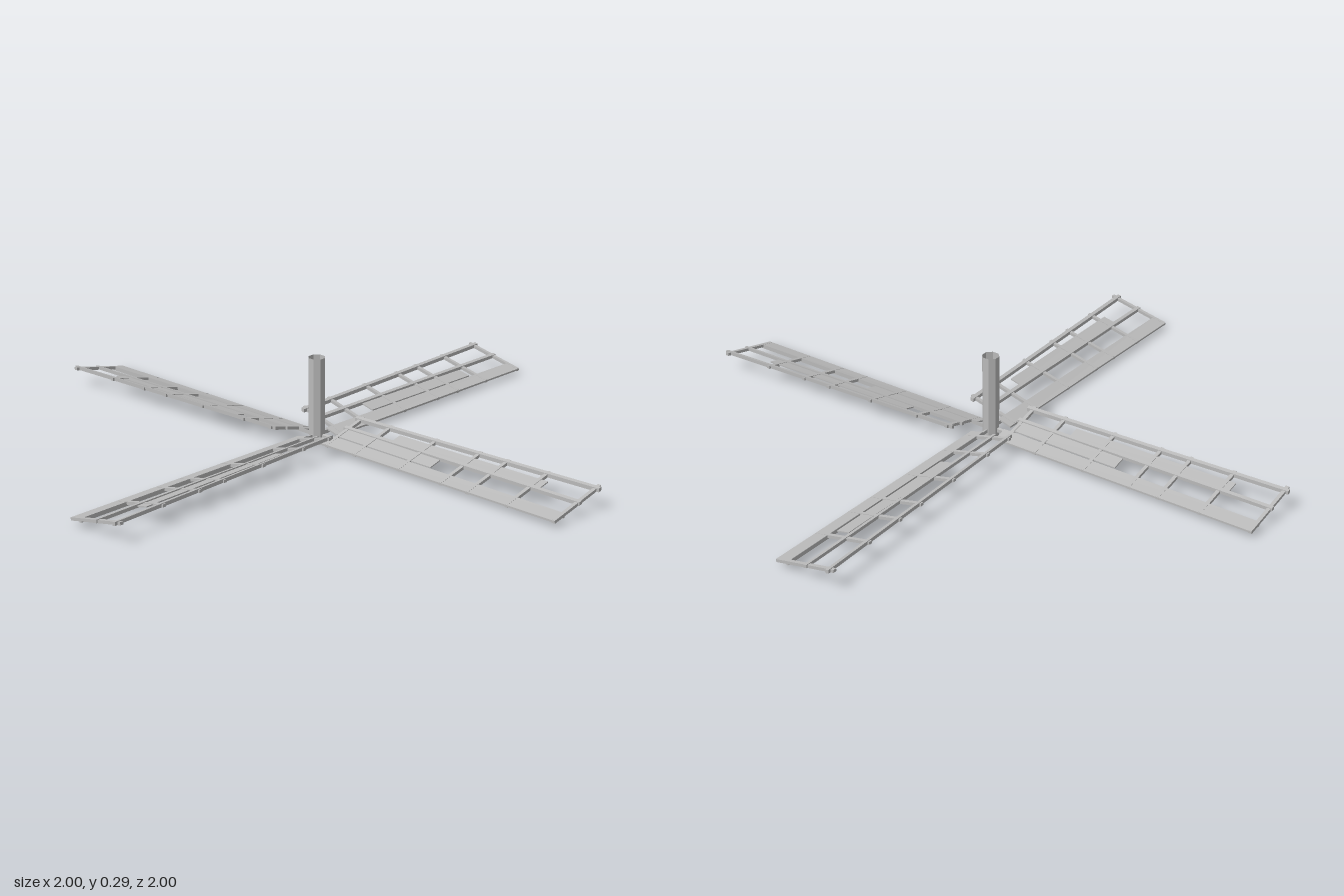
import * as THREE from 'three';

const lerp = THREE.MathUtils.lerp;
const along = (x, a, b) => lerp(a, b, (x - 0.07) / 0.92);
const outerZ = (x) => along(x, -0.122, -0.162);   // slanted trailing rail
const midZ = (x) => along(x, -0.063, -0.075);     // rail in the middle of the lattice
// Height of the slightly twisted sail surface
const sailY = (x, z) => 0.02 + 0.044 * (0.04 - z) / (0.04 - outerZ(Math.max(x, 0.05)));

export function createModel() {
  const root = new THREE.Group();
  root.name = 'windmillSails';
  const grey = new THREE.MeshStandardMaterial({ color: 0xbababa });
  grey.name = 'grey';
  grey.flatShading = true;
  grey.side = THREE.DoubleSide;

  // Slab lying on the sail surface between two edge curves z0(x) < z1(x)
  function slab(parent, name, x0, x1, z0, z1, thick, lift = 0) {
    const g = new THREE.BoxGeometry(1, 1, 1);
    const p = g.attributes.position;
    for (let i = 0; i < p.count; i++) {
      const x = lerp(x0, x1, p.getX(i) + 0.5);
      const z = lerp(z0(x), z1(x), p.getZ(i) + 0.5);
      p.setXYZ(i, x, sailY(x, z) + lift + p.getY(i) * thick, z);
    }
    g.computeVertexNormals();
    const m = new THREE.Mesh(g, grey);
    m.name = name;
    parent.add(m);
  }
  const at = (z) => () => z;
  const rail = (parent, name, x0, x1, curve, w, thick, lift) =>
    slab(parent, name, x0, x1, (x) => curve(x) - w / 2, (x) => curve(x) + w / 2, thick, lift);

  // Loose planks left on each sail: inner [from, to] and outer [from, to]
  const sails = [
    { name: 'leftSail', turn: 0, inner: [0.08, 0.47], outer: [0.26, 0.84] },
    { name: 'backSail', turn: 1, inner: [0.28, 0.78] },
    { name: 'rightSail', turn: 2, inner: [0.08, 0.47], outer: [0.26, 0.84] },
    { name: 'frontSail', turn: 3, outer: [0.26, 0.84] },
  ];
  for (const { name, turn, inner, outer } of sails) {
    const sail = new THREE.Group();
    sail.name = name;
    sail.rotation.y = turn * Math.PI / 2;
    root.add(sail);

    slab(sail, 'leadingBoard', 0.05, 0.99, at(-0.006), at(0.042), 0.006);
    rail(sail, 'spar', 0, 0.99, at(-0.002), 0.008, 0.012, -0.005);
    rail(sail, 'middleRail', 0.065, 0.995, midZ, 0.012, 0.011);
    rail(sail, 'outerRail', 0.06, 1, outerZ, 0.012, 0.012);

    for (const x of [0.08, 0.2, 0.385, 0.555, 0.66, 0.81, 0.985]) {
      const end = x > 0.9 ? 0.018 : 0.012;
      slab(sail, 'crossbar', x - 0.006, x + 0.006, at(outerZ(x) - end), at(0.04), 0.01, -0.0015);
    }
    if (inner) slab(sail, 'innerPlank', ...inner, at(-0.058), at(-0.013), 0.004);
    if (outer) {
      slab(sail, 'outerPlank', ...outer,
        (x) => along(x, -0.105, -0.124), (x) => along(x, -0.07, -0.083), 0.004);
    }
  }

  // Upright axle, an open eight-sided tube
  const axle = new THREE.Mesh(
    new THREE.CylinderGeometry(0.028, 0.028, 0.288, 8, 1, true), grey);
  axle.name = 'axle';
  axle.rotation.y = Math.PI / 8;
  axle.position.y = 0.144;
  root.add(axle);

  return root;
}
